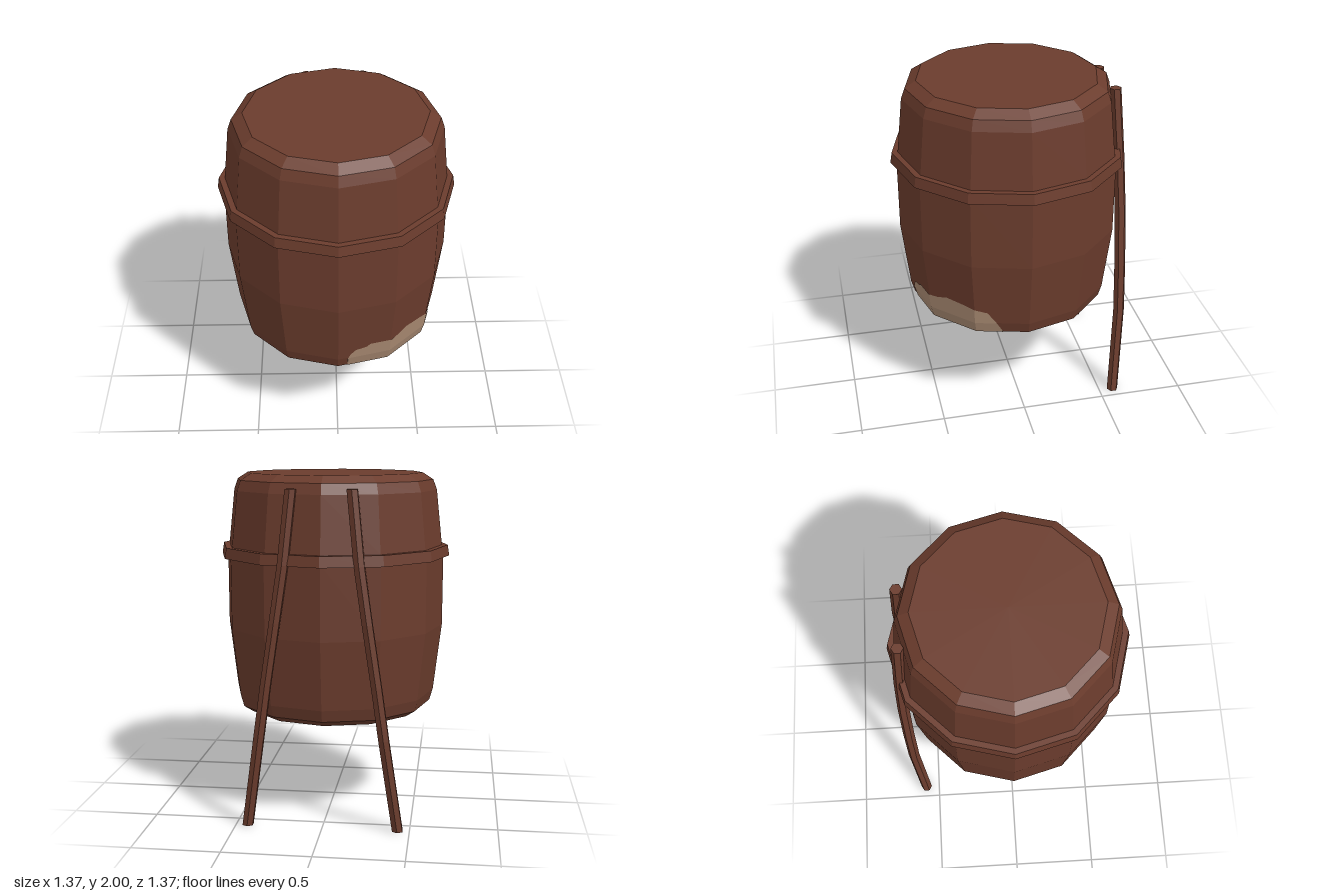
import * as THREE from 'three';

const SIDES = 12;
const STEP = (Math.PI * 2) / SIDES;

// Barrel profile as [radius, height], from the base upwards
const PROFILE = [
  [0.525, 0.592], [0.583, 0.63], [0.603, 0.70], [0.65, 1.1],
  [0.65, 1.53], [0.64, 1.58], [0.605, 1.9], [0.583, 1.96], [0.52, 2.0],
];

// Linear interpolation through a list of [key, value] pairs
function lerpTable(table, k) {
  for (let i = 1; i < table.length; i++) {
    const [k0, v0] = table[i - 1], [k1, v1] = table[i];
    if (k <= k1) return v0 + (v1 - v0) * Math.max(0, (k - k0) / (k1 - k0));
  }
  return table[table.length - 1][1];
}

function lathe(points) {
  return new THREE.LatheGeometry(points.map(([r, y]) => new THREE.Vector2(r, y)), SIDES);
}

// Point on the faceted barrel wall, lifted slightly off it
function wallPoint(angle, y) {
  const radius = lerpTable(PROFILE.map(([r, h]) => [h, r]), y) + 0.005;
  const local = angle - Math.floor(angle / STEP) * STEP - STEP / 2;
  const r = radius * Math.cos(STEP / 2) / Math.cos(local);
  return [Math.sin(angle) * r, y, Math.cos(angle) * r];
}

// Worn patch that follows the wall: [degrees from the front, top height]
function wallPatchGeometry() {
  const outline = [
    [5, 0.60], [5.5, 0.70], [7, 0.73], [10, 0.76], [16, 0.77], [18.5, 0.79], [30, 0.79],
    [36, 0.795], [42, 0.815], [54, 0.805], [60, 0.795], [67, 0.775], [72, 0.70], [75, 0.64], [76.5, 0.60],
  ];
  const rows = [0.592, 0.63, 0.70, 1];
  const positions = [], index = [];
  outline.forEach(([deg, top], i) => {
    rows.forEach((y, j) => {
      positions.push(...wallPoint(THREE.MathUtils.degToRad(deg), Math.min(y, top)));
      if (i && j) {
        const d = i * rows.length + j, c = d - 1, b = d - rows.length, a = b - 1;
        index.push(a, c, d, a, d, b);
      }
    });
  });
  const g = new THREE.BufferGeometry();
  g.setAttribute('position', new THREE.Float32BufferAttribute(positions, 3));
  g.setIndex(index);
  g.computeVertexNormals();
  return g;
}

// Flat worn patch facing down under the base
function basePatchGeometry(points) {
  const shape = new THREE.Shape();
  shape.setFromPoints(new THREE.SplineCurve(
    [...points, points[0]].map(([x, y]) => new THREE.Vector2(x, -y))).getPoints(40));
  return new THREE.ShapeGeometry(shape).rotateX(Math.PI / 2).rotateY(Math.PI * 0.75).translate(0, 0.588, 0);
}

// Six-sided strap bent along the barrel's back; side is +1 or -1
function strapGeometry(side) {
  const heights = [0.005, 0.55, 0.85, 1.2, 1.52, 1.93];
  const xs = [0.432, 0.352, 0.31, 0.257, 0.21, 0.168];
  const zs = [-0.585, -0.624, -0.628, -0.627, -0.616, -0.588];
  const g = new THREE.CylinderGeometry(0.034, 0.034, 1, 6, heights.length - 1);
  const p = g.attributes.position;
  for (let i = 0; i < p.count; i++) {
    const k = Math.round((p.getY(i) + 0.5) * (heights.length - 1));
    p.setXYZ(i, p.getX(i) + side * xs[k], heights[k], p.getZ(i) + zs[k]);
  }
  g.computeVertexNormals();
  return g;
}

export function createModel() {
  const wood = new THREE.MeshStandardMaterial({ color: 0x6b3c2d, flatShading: true });
  wood.name = 'brown wood';
  const worn = new THREE.MeshStandardMaterial({ color: 0xa98a72, flatShading: true, side: THREE.DoubleSide });
  worn.name = 'worn beige';

  const model = new THREE.Group();
  model.name = 'strappedBarrel';
  const add = (name, geometry, material) => {
    const mesh = new THREE.Mesh(geometry, material);
    mesh.name = name;
    model.add(mesh);
  };

  // Barrel with closed base and lid, and the rim of the lid
  add('barrel', lathe([[0, 0.592], ...PROFILE, [0, 2.0]]), wood);
  add('lidRim', lathe([[0.62, 1.515], [0.685, 1.515], [0.675, 1.577], [0.62, 1.577]]), wood);

  // Two straps down the back
  add('leftStrap', strapGeometry(1), wood);
  add('rightStrap', strapGeometry(-1), wood);

  // Worn patches on the wall and under the base
  add('wallPatch', wallPatchGeometry(), worn);
  add('largeBasePatch', basePatchGeometry([
    [-0.24, 0.29], [-0.19, 0.14], [-0.07, 0.03], [0.04, -0.01], [0.21, 0.03],
    [0.31, 0.22], [0.23, 0.38], [0.13, 0.46], [-0.07, 0.48], [-0.19, 0.42],
  ]), worn);
  add('smallBasePatch', basePatchGeometry([
    [0.27, -0.35], [0.37, -0.32], [0.46, -0.12], [0.45, 0.07],
    [0.37, 0.19], [0.27, 0.10], [0.17, -0.04], [0.19, -0.20],
  ]), worn);

  return model;
}
